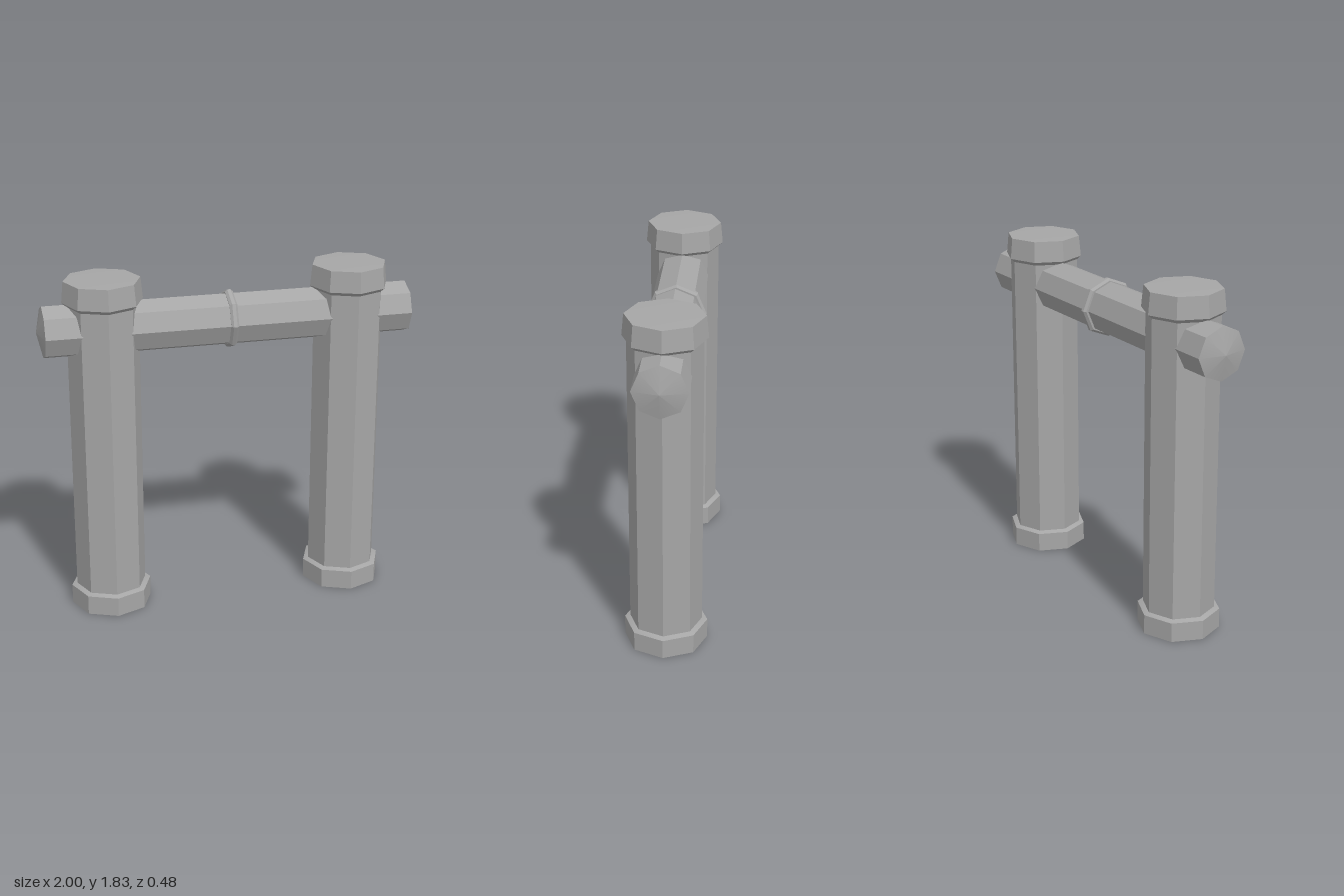
import * as THREE from 'three';
import { toCreasedNormals } from 'three/addons/utils/BufferGeometryUtils.js';

// Eight-sided turned solid from [radius, height] pairs, bottom to top
function octagonal(profile) {
  const points = profile.map(([r, y]) => new THREE.Vector2(r, y));
  return toCreasedNormals(new THREE.LatheGeometry(points, 8), 0.3);
}

export function createModel() {
  const model = new THREE.Group();
  model.name = 'postAndRail';
  const grey = new THREE.MeshStandardMaterial({ color: 0xa6a6a6 });
  grey.name = 'grey';

  const frame = new THREE.Group();
  frame.name = 'frame';
  frame.rotation.y = -0.036; // the whole frame stands slightly askew
  model.add(frame);

  const add = (name, geometry, parent) => {
    const mesh = new THREE.Mesh(geometry, grey);
    mesh.name = name;
    parent.add(mesh);
    return mesh;
  };

  // Post with flared foot and a tapering cap
  const postShape = octagonal([
    [0, 0], [0.216, 0], [0.216, 0.105], [0.188, 0.115],
    [0.188, 1.69], [0.21, 1.71], [0.199, 1.822], [0, 1.828],
  ]);
  for (const [name, x] of [['rightPost', -0.655], ['leftPost', 0.655]]) {
    add(name, postShape, frame).position.x = x;
  }

  // Cross rail with shallow pointed ends
  const rail = add('crossRail', octagonal([
    [0, -1], [0.138, -0.968], [0.138, 0.968], [0, 1],
  ]), frame);
  rail.rotation.z = -Math.PI / 2;
  rail.position.y = 1.562;

  // Bevelled band around the middle of the rail
  const band = add('railBand', octagonal([
    [0.13, -0.021], [0.145, -0.021], [0.157, -0.009],
    [0.157, 0.009], [0.145, 0.021], [0.13, 0.021],
  ]), frame);
  band.rotation.z = -Math.PI / 2;
  band.position.set(0.008, 1.562, -0.005);

  return model;
}
